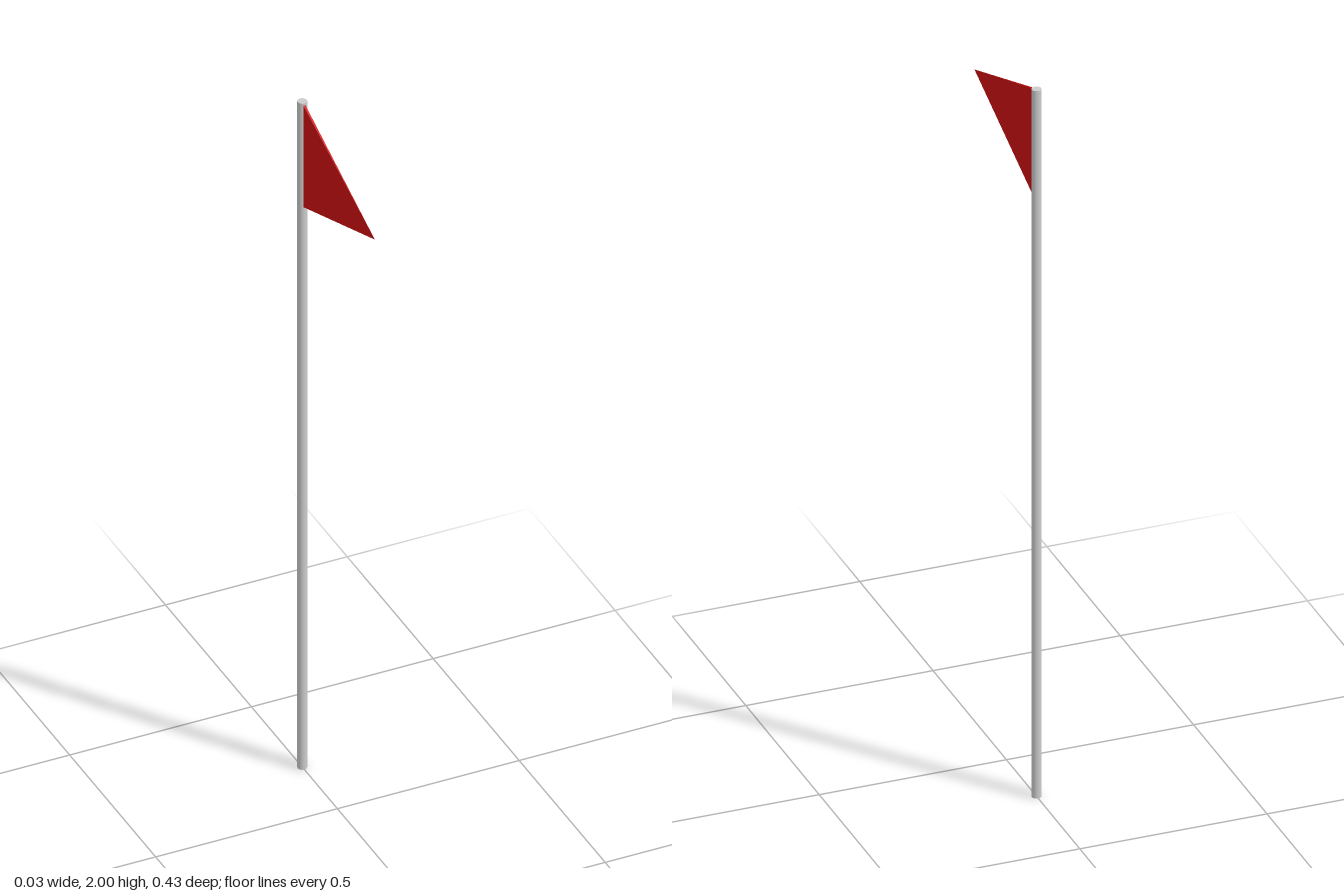
import * as THREE from 'three';

export function createModel() {
  const group = new THREE.Group();
  const poleZ = -0.2045, radius = 0.0125, tipZ = 0.217;

  // Slim round pole
  const pole = new THREE.Mesh(
    new THREE.CylinderGeometry(radius, radius, 2, 32),
    new THREE.MeshStandardMaterial({ color: 0xcccccc })
  );
  pole.name = 'pole';
  pole.position.set(0, 1, poleZ);
  group.add(pole);

  // Pennant: a thin box tapering to a point at its front end
  const length = tipZ - poleZ;
  const geometry = new THREE.BoxGeometry(0.006, 0.314, length);
  const p = geometry.attributes.position;
  for (let i = 0; i < p.count; i++) {
    if (p.getZ(i) > 0) p.setXY(i, p.getX(i) * 0.02, p.getY(i) * 0.002);
  }
  geometry.computeVertexNormals();
  const pennant = new THREE.Mesh(
    geometry,
    new THREE.MeshStandardMaterial({ color: 0xcc1111, flatShading: true })
  );
  pennant.name = 'pennant';
  pennant.position.set(0, 1.842, poleZ + length / 2);
  group.add(pennant);

  return group;
}
